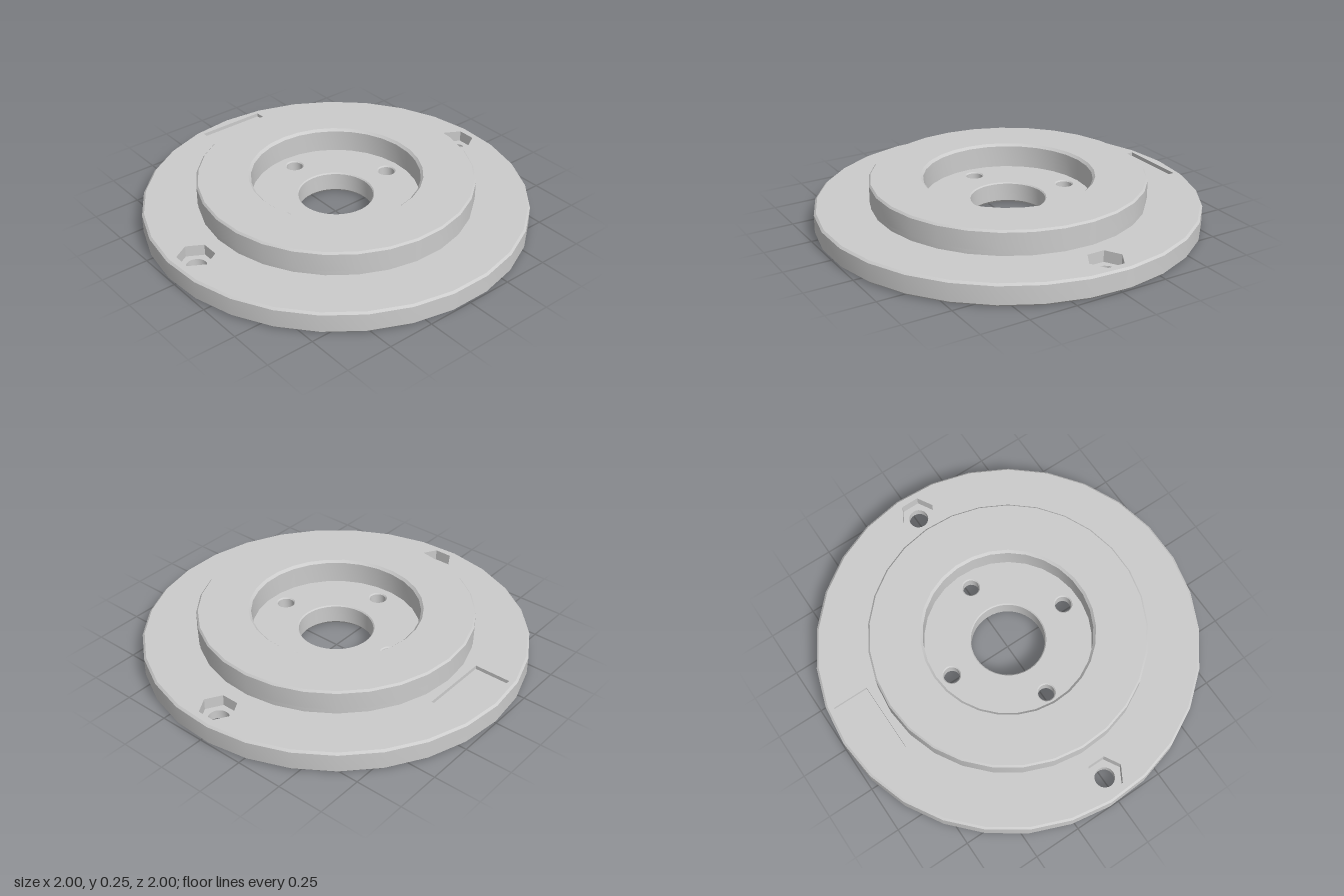
import * as THREE from 'three';
import { toCreasedNormals } from 'three/addons/utils/BufferGeometryUtils.js';

const SIDES = 29;                 // facets of the large rims
const TOP = 0.115, HUB_TOP = 0.245;
const NUT_FLOOR = 0.055, LABEL_FLOOR = 0.095;
const material = new THREE.MeshStandardMaterial({ color: 0xcccccc });

// Loop of [x, z] points, first corner at the back
function ring(r, n, cx = 0, cz = 0) {
  return Array.from({ length: n }, (_, i) => {
    const a = Math.PI + (i / n) * Math.PI * 2;
    return [cx + r * Math.sin(a), cz + r * Math.cos(a)];
  });
}

export function createModel() {
  const group = new THREE.Group();

  function add(name, geometry, crease = 0.5) {
    const mesh = new THREE.Mesh(toCreasedNormals(geometry, crease), material);
    mesh.name = name;
    group.add(mesh);
    return mesh;
  }

  // Flat horizontal face with holes, looking up or down
  function face(name, y, up, outline, holes = []) {
    const s = up ? -1 : 1;
    const pts = (loop) => loop.map(([x, z]) => new THREE.Vector2(x, s * z));
    const shape = new THREE.Shape(pts(outline));
    shape.holes = holes.map((h) => new THREE.Path(pts(h)));
    const g = new THREE.ShapeGeometry(shape);
    g.rotateX(s * Math.PI / 2);
    g.translate(0, y, 0);
    return add(name, g);
  }

  // Turned wall: profile rising faces outward, falling faces the axis
  function turned(name, profile, n, cx = 0, cz = 0, crease = 0.5) {
    const pts = profile.map(([r, y]) => new THREE.Vector2(r, y));
    const g = new THREE.LatheGeometry(pts, n, Math.PI);
    g.translate(cx, 0, cz);
    return add(name, g, crease);
  }

  const screws = [[0.35, 0], [-0.35, 0], [0, 0.35], [0, -0.35]];
  const nuts = [[0.87, 0], [-0.87, 0]];
  const label = [[-0.187, -0.945], [0.187, -0.945], [0.187, -0.75], [-0.187, -0.75]];

  // Flange disc
  turned('flangeRim', [[0.99, 0], [1.001, 0.011], [1.001, 0.105], [0.99, TOP]], SIDES);
  face('flangeTop', TOP, true, ring(0.99, SIDES), [
    ring(0.713, SIDES), label, ...nuts.map(([x, z]) => ring(0.094, 6, x, z)),
  ]);
  face('flangeUnderside', 0, false, ring(0.99, SIDES), [
    ring(0.205, 40),
    ...screws.map(([x, z]) => ring(0.088, 24, x, z)),
    ...nuts.map(([x, z]) => ring(0.06, 24, x, z)),
  ]);

  // Raised hub ring with a slight undercut and chamfered edges
  turned('hubRing', [
    [0.713, TOP], [0.713, 0.14], [0.717, 0.14], [0.717, 0.235], [0.708, HUB_TOP],
    [0.45, HUB_TOP], [0.437, 0.232], [0.437, TOP],
  ], SIDES);
  face('hubFloor', TOP, true, ring(0.437, SIDES), [
    ring(0.2, 40), ...screws.map(([x, z]) => ring(0.049, 24, x, z)),
  ]);

  // Central bore
  turned('centreBore', [[0.2, TOP], [0.194, 0.109], [0.194, 0.014], [0.205, 0]], 40);

  // Countersunk screw holes
  for (const [x, z] of screws) {
    turned('screwHole', [[0.049, TOP], [0.043, 0.109], [0.043, 0.05], [0.088, 0]], 24, x, z);
  }

  // Hexagonal nut pockets with bolt holes
  for (const [x, z] of nuts) {
    turned('nutPocket', [[0.094, TOP], [0.094, NUT_FLOOR]], 6, x, z);
    face('nutPocketFloor', NUT_FLOOR, true, ring(0.094, 6, x, z), [ring(0.052, 24, x, z)]);
    turned('boltHole', [[0.052, NUT_FLOOR], [0.052, 0.008], [0.06, 0]], 24, x, z);
  }

  // Shallow rectangular label recess
  face('labelRecessFloor', LABEL_FLOOR, true, label);
  label.forEach(([x0, z0], i) => {
    const [x1, z1] = label[(i + 1) % label.length];
    const g = new THREE.PlaneGeometry(Math.hypot(x1 - x0, z1 - z0), TOP - LABEL_FLOOR);
    g.rotateY(-i * Math.PI / 2);
    g.translate((x0 + x1) / 2, (TOP + LABEL_FLOOR) / 2, (z0 + z1) / 2);
    add('labelRecessWall', g);
  });

  // Centre the odd-sided disc in depth
  group.children.forEach((m) => { m.position.z = 0.003; });
  return group;
}
